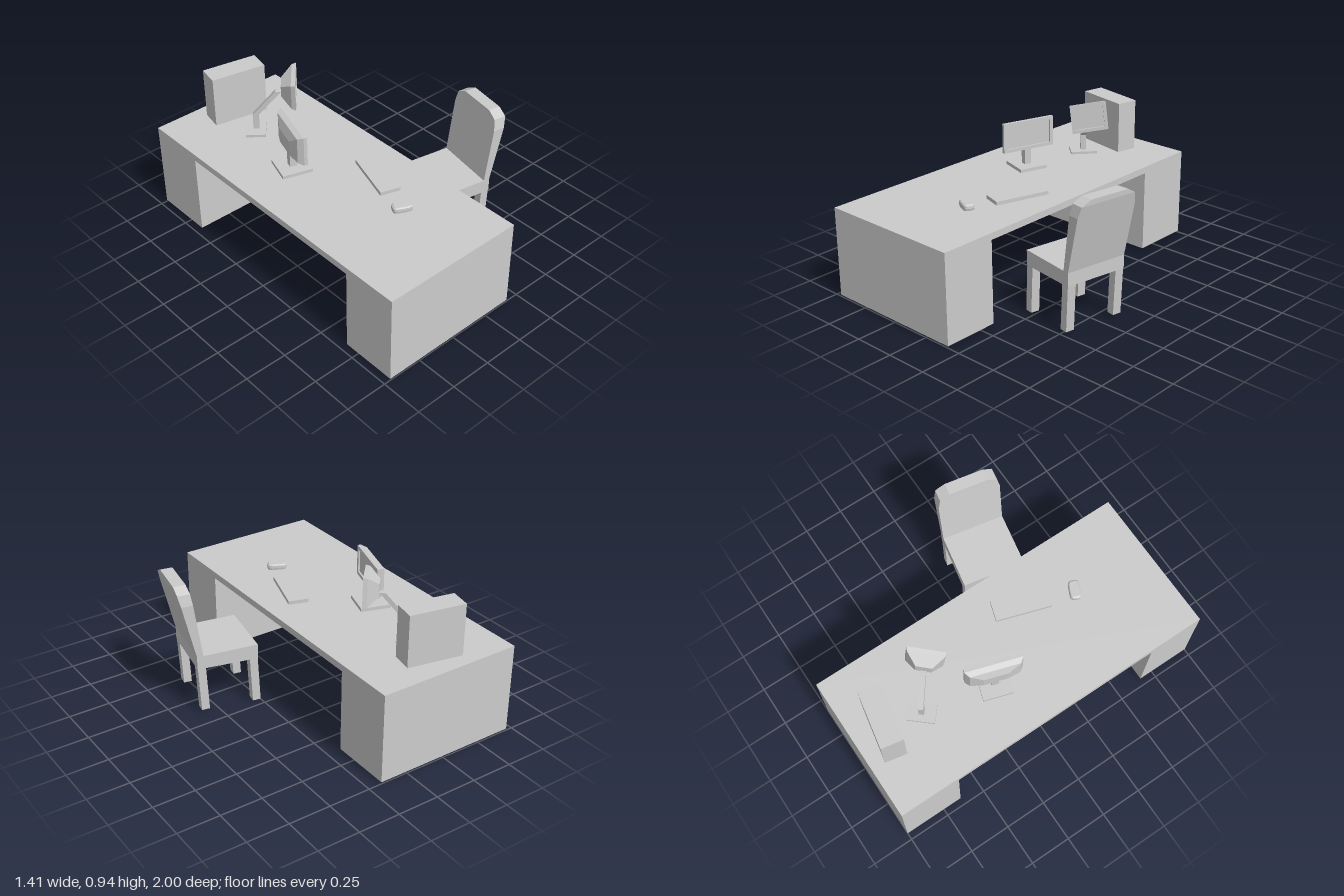
import * as THREE from 'three';

const material = new THREE.MeshStandardMaterial({ color: 0xcccccc, flatShading: true });

function add(parent, name, geometry, x = 0, y = 0, z = 0, ry = 0) {
  const mesh = new THREE.Mesh(geometry, material);
  mesh.name = name;
  mesh.position.set(x, y, z);
  mesh.rotation.y = ry;
  parent.add(mesh);
  return mesh;
}

function group(parent, name, x = 0, y = 0, z = 0, ry = 0) {
  const g = new THREE.Group();
  g.name = name;
  g.position.set(x, y, z);
  g.rotation.y = ry;
  parent.add(g);
  return g;
}

const box = (w, h, d) => new THREE.BoxGeometry(w, h, d);

// Skin a stack of equal-sized closed rings and cap both ends
function loft(rings) {
  const pos = [];
  const tri = (a, b, c) => pos.push(...a, ...b, ...c);
  const n = rings[0].length;
  for (let r = 0; r < rings.length - 1; r++) {
    for (let i = 0; i < n; i++) {
      const j = (i + 1) % n;
      const [a, b, c, d] = [rings[r][i], rings[r][j], rings[r + 1][j], rings[r + 1][i]];
      tri(a, b, c);
      tri(a, c, d);
    }
  }
  const first = rings[0], last = rings[rings.length - 1];
  for (let i = 1; i < n - 1; i++) {
    tri(first[0], first[i + 1], first[i]);
    tri(last[0], last[i], last[i + 1]);
  }
  const g = new THREE.BufferGeometry();
  g.setAttribute('position', new THREE.Float32BufferAttribute(pos, 3));
  g.computeVertexNormals();
  return g;
}

// Rectangle rings: level (stacked along y) and upright (stacked along x)
const level = (y, x0, x1, z0, z1) => [[x0, y, z0], [x0, y, z1], [x1, y, z1], [x1, y, z0]];
const upright = (x, hh, hw, cy = 0) =>
  [[x, cy - hh, -hw], [x, cy + hh, -hw], [x, cy + hh, hw], [x, cy - hh, hw]];

// Screen facing +x, front at x = 0: tapered back, raised bezel, recessed panel
function screen(w, h, backRings, border) {
  const hw = w / 2, hh = h / 2;
  return loft([
    ...backRings,
    upright(0, hh, hw),
    upright(0, hh - border, hw - border),
    upright(-0.01, hh - border, hw - border),
  ]);
}

function addDesk(root) {
  const desk = group(root, 'desk', -0.27);
  add(desk, 'deskTop', box(0.88, 0.04, 2), 0, 0.525, 0);
  add(desk, 'leftPedestal', box(0.88, 0.495, 0.335), 0, 0.2575, 0.8325);
  add(desk, 'rightPedestal', box(0.88, 0.495, 0.365), 0, 0.2575, -0.8175);
}

function addChair(root) {
  const chair = group(root, 'chair', 0.225, 0, 0.233, -0.19);
  // Seat
  add(chair, 'seat', loft([
    [[0, 0.28, -0.19], [0, 0.28, 0.19], [0.363, 0.29, 0.19], [0.363, 0.29, -0.19]],
    level(0.37, 0, 0.363, -0.19, 0.19),
  ]));
  // Backrest leans back, thickens upward and has chamfered shoulders
  add(chair, 'backrest', loft([
    [0.292, 0.19, 0.326, 0.364],
    [0.37, 0.19, 0.326, 0.364],
    [0.7, 0.19, 0.372, 0.44],
    [0.765, 0.175, 0.381, 0.455],
    [0.795, 0.115, 0.385, 0.457],
  ].map(([y, hw, x0, x1]) => level(y, x0, x1, -hw, hw))));
  // Legs, each raked slightly forward at the foot
  for (const [name, x, foot] of [['frontLeg', 0.002, 0], ['backLeg', 0.314, 0.015]]) {
    for (const s of [-1, 1]) {
      const z0 = s > 0 ? 0.135 : -0.188, z1 = z0 + 0.053;
      add(chair, name, loft([
        level(foot, x - 0.014, x + 0.034, z0, z1),
        level(0.3, x, x + 0.048, z0, z1),
      ]));
    }
  }
}

function addLargeMonitor(root) {
  const monitor = group(root, 'largeMonitor', -0.37, 0.545, -0.175, -0.305);
  add(monitor, 'monitorBase', box(0.18, 0.02, 0.175), 0, 0.01, 0);
  add(monitor, 'monitorNeck', box(0.04, 0.12, 0.042), 0, 0.075, 0);
  add(monitor, 'monitorScreen', screen(0.33, 0.18, [
    upright(-0.07, 0.045, 0.07, -0.02),
    upright(-0.05, 0.078, 0.142),
    upright(-0.02, 0.09, 0.165),
  ], 0.02), 0.03, 0.206, 0);
}

function addSmallMonitor(root) {
  const monitor = group(root, 'smallMonitor', -0.29, 0.545, -0.6, -0.72);
  add(monitor, 'smallMonitorBase', box(0.113, 0.015, 0.16), 0, 0.0075, 0);
  // Upright post that bends into a forward-leaning arm
  const hw = 0.015;
  add(monitor, 'monitorArm', loft([
    level(0.01, -0.017, 0.017, -hw, hw),
    level(0.11, -0.017, 0.017, -hw, hw),
    level(0.27, 0.12, 0.155, -hw, hw),
  ]));
  const head = add(monitor, 'smallMonitorScreen', screen(0.216, 0.176, [
    upright(-0.085, 0.035, 0.045),
    upright(-0.025, 0.083, 0.102),
  ], 0.02), 0.24, 0.295, 0);
  head.rotation.x = 0.115;
}

function addMouse(root) {
  // Rounded outline, flared a little at the middle and domed on top
  const ring = (y, s) => Array.from({ length: 16 }, (_, i) => {
    const a = (i / 16) * Math.PI * 2;
    const soft = (v) => Math.sign(v) * Math.sqrt(Math.abs(v));
    return [soft(Math.sin(a)) * 0.058 * s, y, soft(Math.cos(a)) * 0.034 * s];
  });
  add(root, 'mouse', loft([ring(0, 0.95), ring(0.012, 1), ring(0.027, 0.97), ring(0.034, 0.8)]),
    -0.175, 0.545, 0.51, -0.44);
}

export function createModel() {
  const root = new THREE.Group();
  root.name = 'officeDesk';
  addDesk(root);
  addChair(root);
  addLargeMonitor(root);
  addSmallMonitor(root);
  add(root, 'computerTower', box(0.333, 0.31, 0.13), -0.265, 0.7, -0.823, -0.19);
  add(root, 'keyboard', box(0.12, 0.022, 0.33), -0.075, 0.556, 0.21, -0.31);
  addMouse(root);
  return root;
}
